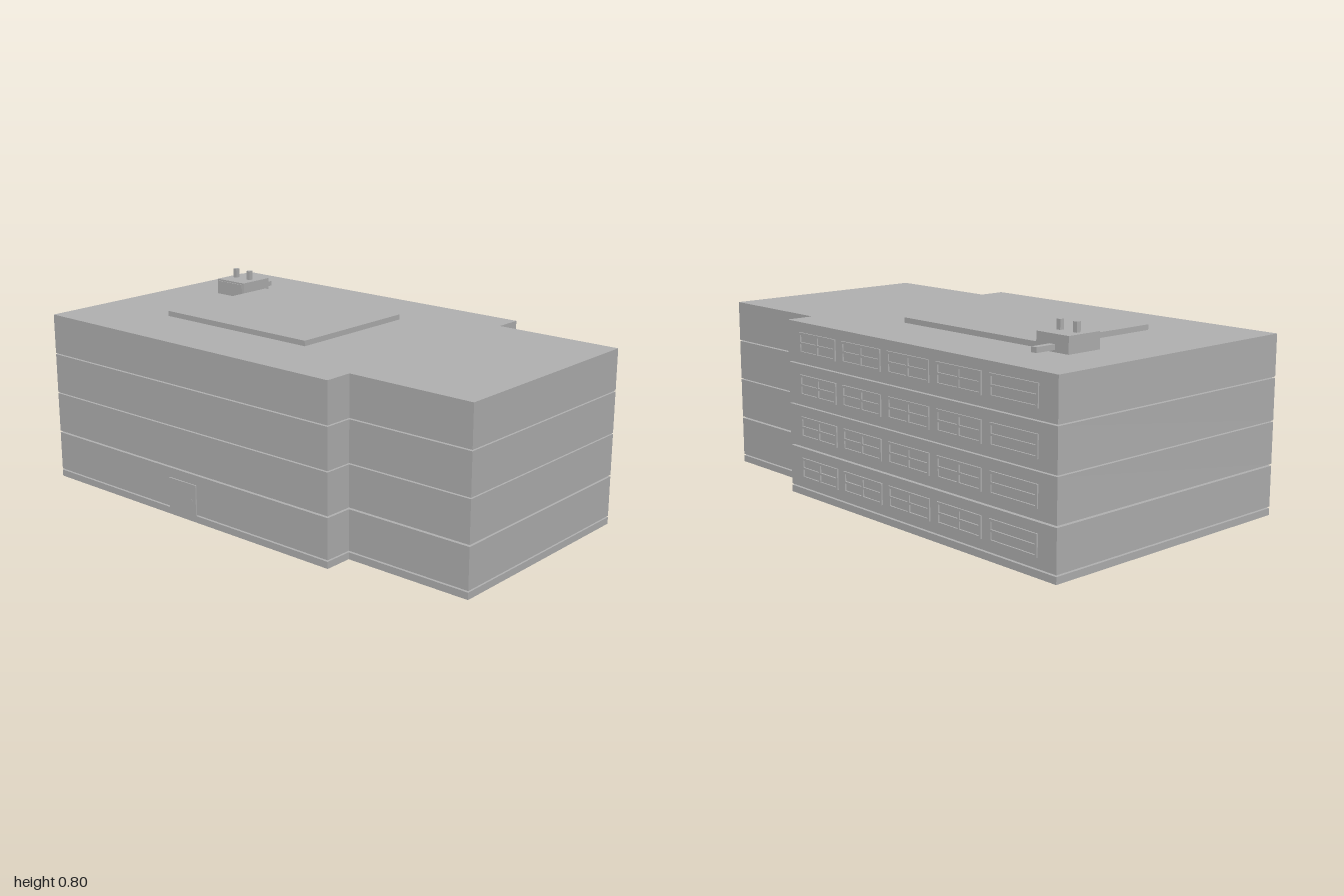
import * as THREE from 'three';

export function createModel() {
  const model = new THREE.Group();
  model.name = 'officeBuilding';
  const concrete = new THREE.MeshStandardMaterial({ color: 0xb2b2b2 });
  concrete.name = 'concreteGrey';

  // Box given by its lower and upper limits on each axis
  function box(parent, name, [x0, x1], [y0, y1], [z0, z1]) {
    const mesh = new THREE.Mesh(new THREE.BoxGeometry(x1 - x0, y1 - y0, z1 - z0), concrete);
    mesh.position.set((x0 + x1) / 2, (y0 + y1) / 2, (z0 + z1) / 2);
    mesh.name = name;
    parent.add(mesh);
    return mesh;
  }

  // Footprint: broad main block with a narrower wing on +x
  const footprint = new THREE.Shape([
    [-1, -0.57], [0.475, -0.57], [0.475, -0.455], [1, -0.455],
    [1, 0.455], [0.475, 0.455], [0.475, 0.57], [-1, 0.57],
  ].map(([x, z]) => new THREE.Vector2(x, z)));

  function slab(name, y0, y1) {
    const geometry = new THREE.ExtrudeGeometry(footprint, { depth: y1 - y0, bevelEnabled: false });
    geometry.rotateX(-Math.PI / 2);
    const mesh = new THREE.Mesh(geometry, concrete);
    mesh.position.y = y0;
    mesh.name = name;
    model.add(mesh);
  }

  // Plinth and four storeys, parted by thin shadow gaps
  slab('plinth', 0, 0.027);
  const storeys = [[0.033, 0.192], [0.199, 0.361], [0.366, 0.527], [0.532, 0.693]];
  storeys.forEach(([y0, y1], i) => slab(`storey${i + 1}`, y0, y1));

  // Raised window frame on the back wall, with glazing bars
  function addWindow(cx, cy, split) {
    const w = 0.115, h = 0.0415, b = 0.009;
    const depth = [-0.576, -0.569];
    const frame = new THREE.Group();
    frame.name = 'window';
    for (const s of [-1, 1]) {
      const y = cy + s * (h - b / 2), x = cx + s * (w - b / 2);
      box(frame, 'frameRail', [cx - w, cx + w], [y - b / 2, y + b / 2], depth);
      box(frame, 'frameStile', [x - b / 2, x + b / 2], [cy - h + b, cy + h - b], depth);
    }
    box(frame, 'crossBar', [cx - w + b, cx + w - b], [cy - 0.004, cy + 0.004], depth);
    if (split) {
      box(frame, 'upperMullion', [cx - 0.004, cx + 0.004], [cy + 0.004, cy + h - b], depth);
      box(frame, 'lowerMullion', [cx - 0.004, cx + 0.004], [cy - h + b, cy - 0.004], depth);
    }
    model.add(frame);
  }
  for (let row = 0; row < 4; row++) {
    for (let col = 0; col < 5; col++) {
      addWindow(-0.799 + col * 0.27, 0.112 + row * 0.1667, col > 0);
    }
  }

  // Front door with a small knob
  box(model, 'door', [-0.335, -0.188], [0.03, 0.153], [0.565, 0.576]);
  box(model, 'doorKnob', [-0.212, -0.206], [0.085, 0.091], [0.576, 0.579]);

  // Flat roof panel
  box(model, 'roofPanel', [-0.63, 0.11], [0.693, 0.714], [-0.283, 0.281]);

  // Rooftop plant with front grille, two vents and a duct to the back
  const plant = new THREE.Group();
  plant.name = 'rooftopPlant';
  box(plant, 'plantHousing', [-0.785, -0.63], [0.693, 0.757], [-0.304, -0.15]);
  box(plant, 'plantGrille', [-0.778, -0.637], [0.708, 0.75], [-0.15, -0.146]);
  for (const x of [-0.748, -0.669]) {
    box(plant, 'vent', [x - 0.009, x + 0.009], [0.757, 0.795], [-0.236, -0.217]);
  }
  box(plant, 'duct', [-0.72, -0.695], [0.701, 0.721], [-0.392, -0.304]);
  model.add(plant);

  return model;
}
